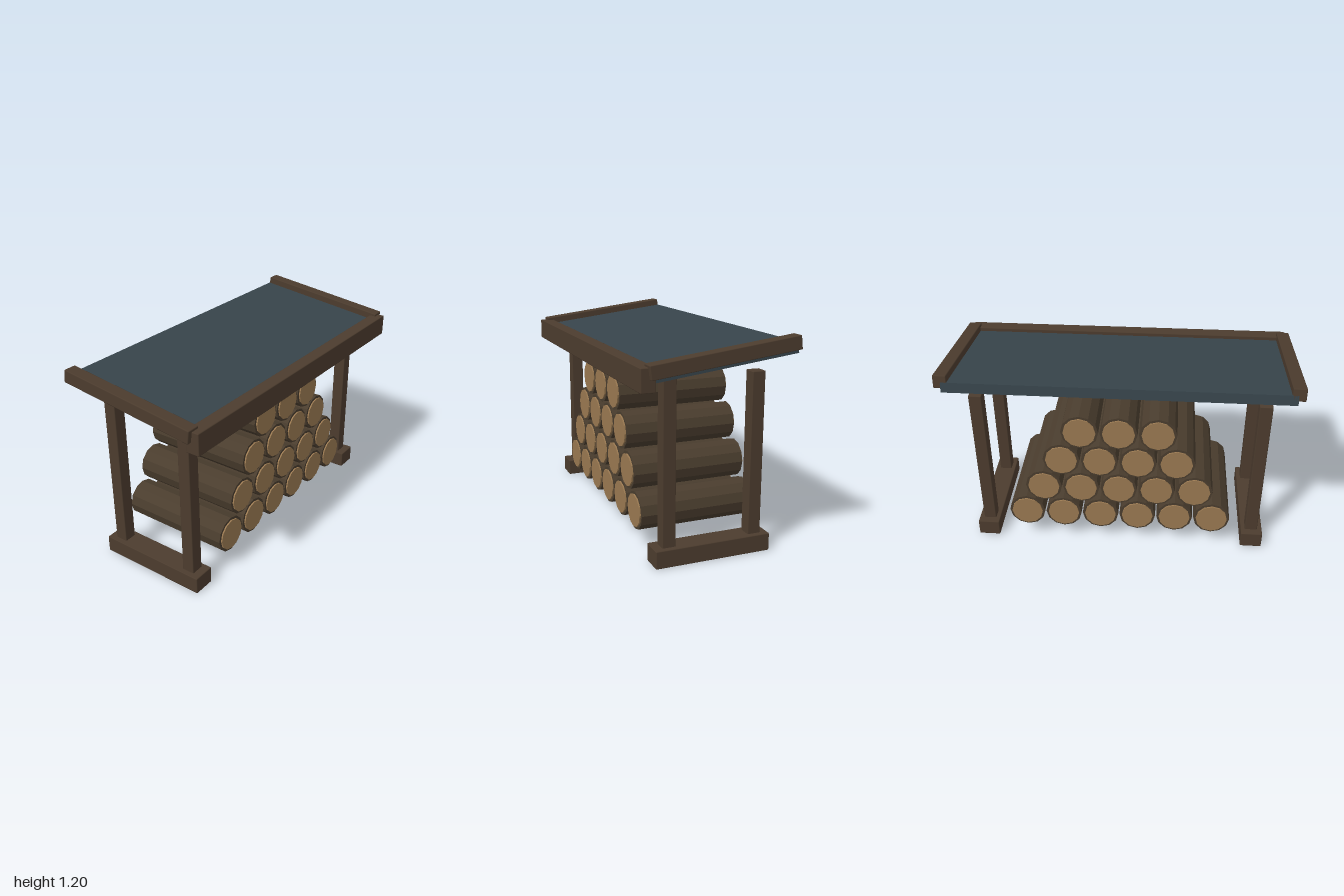
import * as THREE from 'three';
import { RoundedBoxGeometry } from 'three/addons/geometries/RoundedBoxGeometry.js';

const material = (name, color, flatShading = false) => {
  const m = new THREE.MeshStandardMaterial({ color, flatShading });
  m.name = name;
  return m;
};

export function createModel() {
  const timber = material('dark timber', 0x4c3c2e);
  const bark = material('bark', 0x4a3d2e, true);
  const cutWood = material('cut wood', 0x9a7951, true);
  const roofing = material('slate blue roofing', 0x37444b);

  const model = new THREE.Group();
  model.name = 'firewoodShelter';

  const add = (parent, name, geometry, mat, x, y, z) => {
    const mesh = new THREE.Mesh(geometry, mat);
    mesh.name = name;
    mesh.position.set(x, y, z);
    parent.add(mesh);
    return mesh;
  };
  // Timber with slightly eased edges
  const beam = (w, h, d) => new RoundedBoxGeometry(w, h, d, 1, 0.005);

  // Side frames: a ground sill carrying two posts
  for (const [side, s] of [['left', 1], ['right', -1]]) {
    const frame = new THREE.Group();
    frame.name = side + 'Frame';
    model.add(frame);
    add(frame, 'groundSill', beam(0.13, 0.1, 0.67), timber, s * 0.82, 0.05, -0.017);
    add(frame, 'frontPost', beam(0.075, 0.93, 0.075), timber, s * 0.818, 0.54, 0.233);
    add(frame, 'backPost', beam(0.075, 0.93, 0.075), timber, s * 0.818, 0.54, -0.271);
  }

  // Sloping roof panel with a raised rail on each side
  const roof = new THREE.Group();
  roof.name = 'roof';
  roof.position.set(0, 1.117, -0.018);
  roof.rotation.x = 0.122;
  model.add(roof);
  add(roof, 'roofPanel', new THREE.BoxGeometry(1.92, 0.059, 0.83), roofing, 0, -0.032, 0);
  for (const s of [1, -1]) {
    add(roof, s > 0 ? 'leftRail' : 'rightRail', beam(0.075, 0.075, 0.83), timber, s * 0.962, 0, 0);
  }
  // Fascia below the low edge
  add(model, 'frontFascia', beam(1.95, 0.125, 0.08), timber, 0, 1.028, 0.396);

  // Log stack: six at the bottom, three at the top
  const logGeometry = new THREE.CylinderGeometry(0.109, 0.109, 0.665, 12).rotateX(Math.PI / 2);
  const endGeometry = new THREE.CylinderGeometry(0.094, 0.094, 0.009, 12).rotateX(Math.PI / 2);
  for (let row = 0; row < 4; row++) {
    const count = 6 - row;
    for (let i = 0; i < count; i++) {
      const log = new THREE.Group();
      log.name = 'log';
      log.position.set((i - (count - 1) / 2) * 0.2255, 0.214 + row * 0.2, -0.018);
      model.add(log);
      add(log, 'bark', logGeometry, bark, 0, 0, 0);
      for (const s of [1, -1]) {
        add(log, s > 0 ? 'frontCutEnd' : 'backCutEnd', endGeometry, cutWood, 0, 0, s * 0.3365);
      }
    }
  }
  return model;
}
